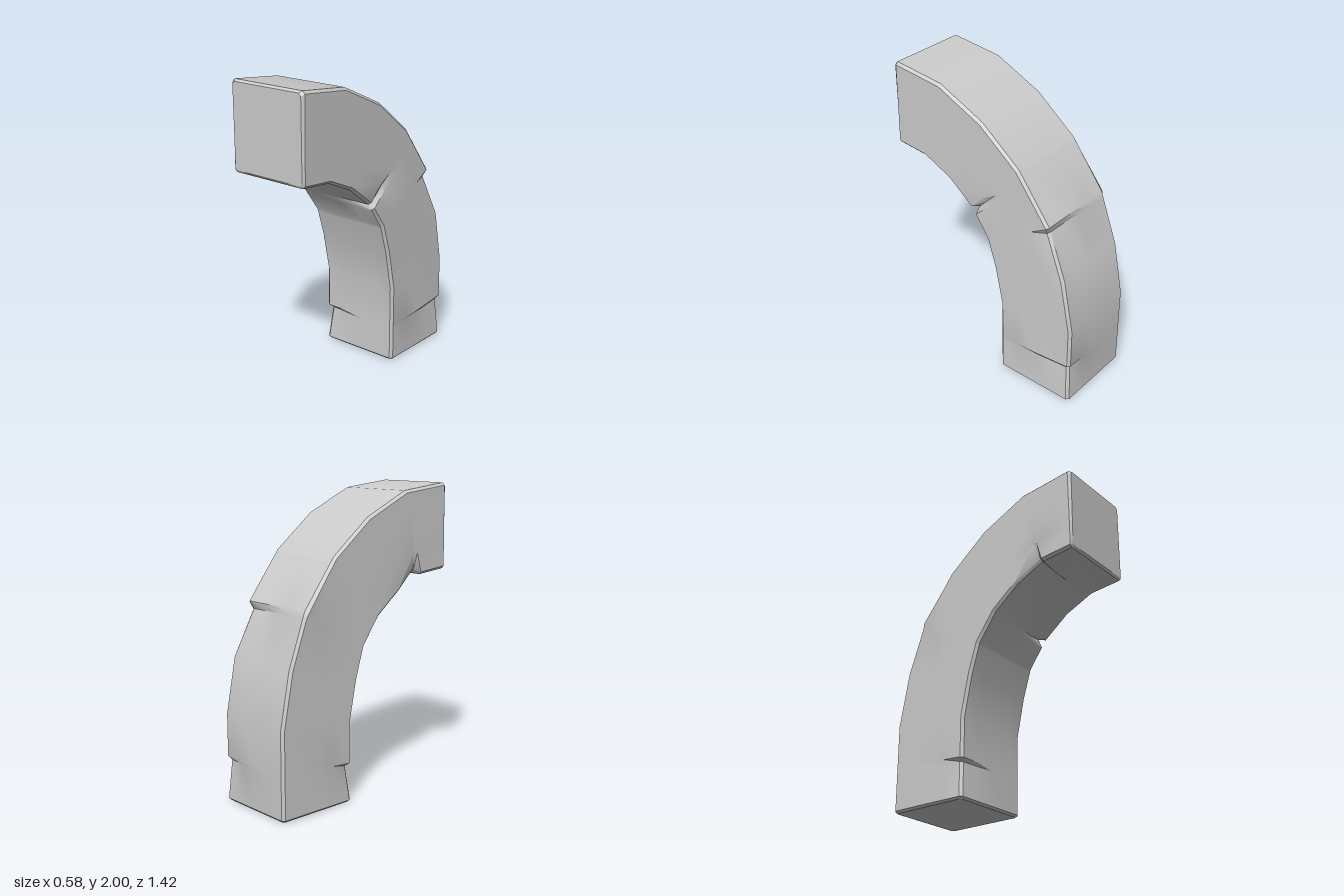
import * as THREE from 'three';
import { toCreasedNormals } from 'three/addons/utils/BufferGeometryUtils.js';

const HALF = 0.283;   // half width
const BX = 0.06;      // edge bevel across the width (fraction)
const BT = 0.03;      // edge bevel across the thickness (fraction)

// Stations from the upper end to the foot: outer z, y, inner z, y.
// chips: [side, t (0 outer, 1 inner), reach in t, reach in x, depth]
// bulge: [side, t, height]
const stations = [
  { p: [0.71, 2.0, 0.71, 1.43] },
  { p: [0.33, 1.96, 0.48, 1.41], chips: [[-1, 1, 0.35, 0.9, 0.04]], gap: 0.1 },
  { p: [0, 1.81, 0.28, 1.32] },
  { p: [-0.28, 1.59, 0.10, 1.18], chips: [[1, 1, 0.5, 0.9, 0.035]], gap: 0.12, close: 0.25 },
  { p: [-0.515, 1.28, -0.03, 1.0], chips: [[1, 0, 0.2, 1.9, 0.03]], bulge: [-1, 0.03, 0.008], gap: 0.1 },
  { p: [-0.64, 0.94, -0.09, 0.8] },
  { p: [-0.71, 0.58, -0.145, 0.53] },
  { p: [-0.71, 0.3, -0.145, 0.26], chips: [[1, 0, 0.9, 0.9, 0.02], [-1, 1, 0.3, 1.0, 0.025]],
    bulge: [1, 0.45, 0.009], gap: 0.08 },
  { p: [-0.71, 0, -0.145, 0] },
];

// Outline of the bevelled square section as [x fraction, t] pairs.
function sectionOutline() {
  const pts = [], steps = [0, 0.25, 0.5, 0.75, 1];
  for (const s of steps) pts.push([(2 * s - 1) * (1 - BX), 0]);
  for (const s of steps) pts.push([1, BT + s * (1 - 2 * BT)]);
  for (const s of steps) pts.push([(1 - 2 * s) * (1 - BX), 1]);
  for (const s of steps) pts.push([-1, 1 - BT - s * (1 - 2 * BT)]);
  return pts;
}

const mix = (a, b, k) => a.map((v, i) => v + (b[i] - v) * k);

// One section ring, optionally shrunk, chipped or bulged.
function makeRing(p, outline, { scale = 1, chips = [], bulge } = {}) {
  return outline.map(([sx, t0]) => {
    let x = sx * HALF * scale;
    let t = 0.5 + (t0 - 0.5) * scale;
    for (const [side, ct, reachT, reachX, depth] of chips) {
      const w = Math.max(0, 1 - Math.abs(t0 - ct) / reachT - Math.abs(sx - side) / reachX);
      x -= side * depth * w;
      t += (ct ? -1 : 1) * depth / 0.57 * w;
    }
    if (bulge && sx === bulge[0]) {
      x += bulge[0] * bulge[2] * Math.max(0, 1 - Math.abs(t0 - bulge[1]) / 0.45);
    }
    return [x, p[1] + (p[3] - p[1]) * t, p[0] + (p[2] - p[0]) * t];
  });
}

function archGeometry() {
  const outline = sectionOutline();
  const n = outline.length, last = stations.length - 1;
  const rings = [];
  stations.forEach((s, i) => {
    const next = stations[i + 1], prev = stations[i - 1];
    // bevelled upper end
    if (i === 0) {
      rings.push(makeRing(s.p, outline, { scale: 0.95 }));
      rings.push(makeRing(mix(s.p, next.p, 0.05), outline));
      return;
    }
    // bevelled foot
    if (i === last) {
      rings.push(makeRing(mix(s.p, prev.p, 0.05), outline));
      rings.push(makeRing(s.p, outline, { scale: 0.95 }));
      return;
    }
    rings.push(makeRing(s.p, outline, { bulge: s.bulge }));
    if (s.chips) rings.push(makeRing(mix(s.p, next.p, s.gap), outline, { chips: s.chips }));
    if (s.close) rings.push(makeRing(mix(s.p, next.p, s.close), outline));
  });

  const pos = rings.flat(2), idx = [];
  for (let r = 0; r < rings.length - 1; r++) {
    for (let k = 0; k < n; k++) {
      const a = r * n + k, b = r * n + (k + 1) % n;
      idx.push(a, b, a + n, b, b + n, a + n);
    }
  }
  // flat end caps
  const addCap = (r, flip) => {
    const c = pos.length / 3;
    pos.push(...[0, 1, 2].map(j => rings[r].reduce((sum, v) => sum + v[j], 0) / n));
    for (let k = 0; k < n; k++) {
      const a = r * n + k, b = r * n + (k + 1) % n;
      idx.push(c, flip ? b : a, flip ? a : b);
    }
  };
  addCap(0, true);
  addCap(rings.length - 1, false);

  const g = new THREE.BufferGeometry();
  g.setAttribute('position', new THREE.Float32BufferAttribute(pos, 3));
  g.setIndex(idx);
  return toCreasedNormals(g, 0.5);
}

export function createModel() {
  const group = new THREE.Group();
  group.name = 'archHalf';
  const stone = new THREE.Mesh(archGeometry(), new THREE.MeshStandardMaterial({ color: 0xcccccc }));
  stone.name = 'curvedStone';
  group.add(stone);
  return group;
}
